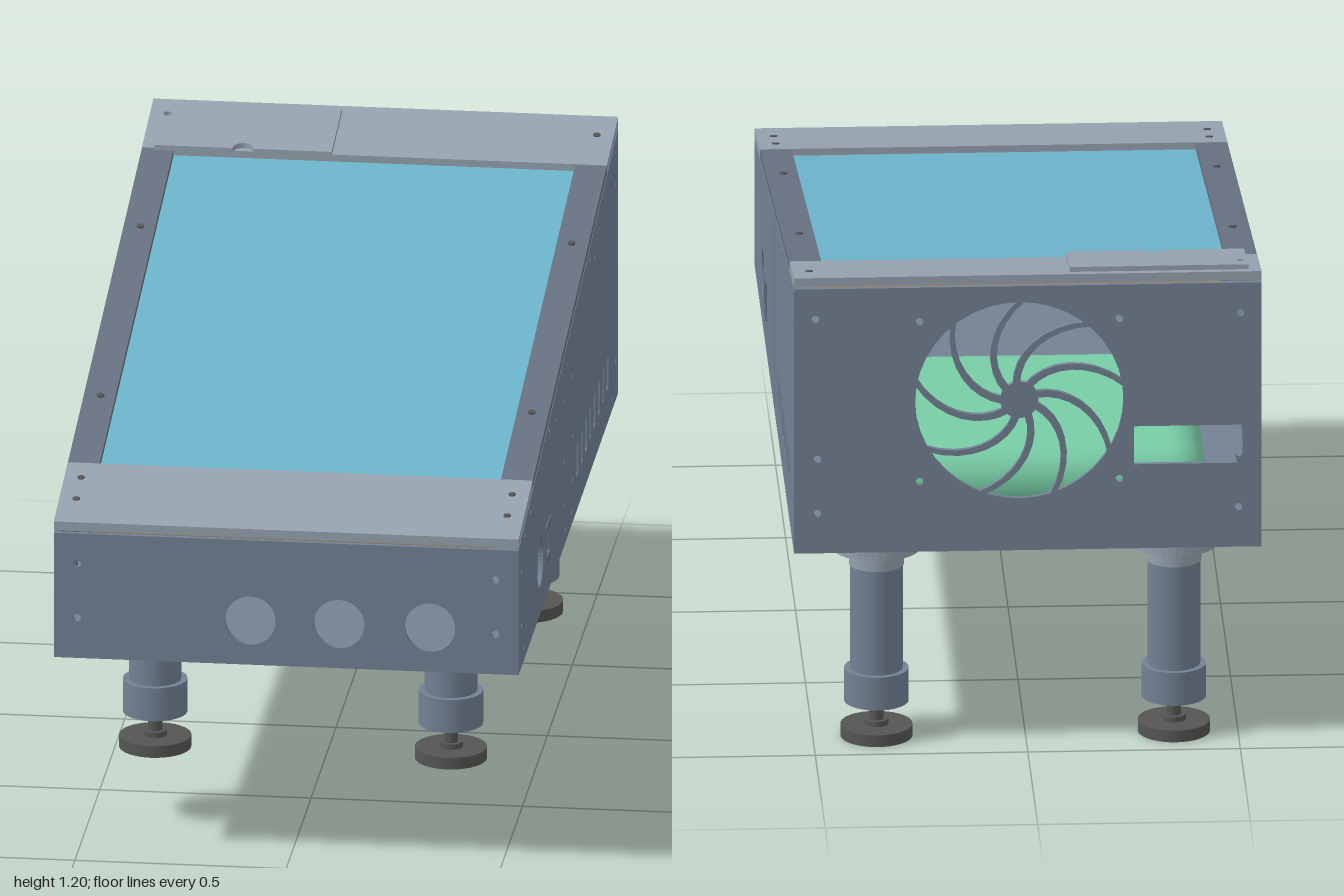
import * as THREE from 'three';
import { RoundedBoxGeometry } from 'three/addons/geometries/RoundedBoxGeometry.js';

const mat = (name, color, side = THREE.FrontSide) => {
  const m = new THREE.MeshStandardMaterial({ color, side });
  m.name = name;
  return m;
};

const T = 0.012;        // sheet thickness
const SLOPE = 0.175;    // rise of the lid towards the back
const LID = 1.018;      // lid top height at z = 0
const BASE = 0.505;     // underside of the cabinet
const wallTop = z => 0.99 - SLOPE * z;

export function createModel() {
  const model = new THREE.Group();
  const body = mat('slate sheet metal', 0x728193);
  const cap = mat('light grey metal', 0x95a2ae);
  const strip = mat('dark slate trim', 0x667181);
  const glass = mat('blue glass', 0x6cb3ca);
  const dark = mat('dark rubber', 0x555654);
  const green = mat('green casing', 0x78cca6);
  const brown = mat('brown board', 0xa87c48);

  const add = (name, geo, material, x = 0, y = 0, z = 0, parent = model) => {
    const m = new THREE.Mesh(geo, material);
    m.name = name;
    m.position.set(x, y, z);
    parent.add(m);
    return m;
  };

  // shape helpers
  const poly = pts => new THREE.Shape(pts.map(p => new THREE.Vector2(p[0], p[1])));
  const rect = (x0, y0, x1, y1) => poly([[x0, y0], [x1, y0], [x1, y1], [x0, y1]]);
  const circle = (x, y, r) => new THREE.Path().absarc(x, y, r, 0, Math.PI * 2, true);
  const sheet = (shape, holes, depth = T) => {
    shape.holes.push(...holes);
    return new THREE.ExtrudeGeometry(shape, { depth, bevelEnabled: false, curveSegments: 20 });
  };

  // box that follows the slope of the lid; y0 and y1 are measured at z = 0
  const shear = new THREE.Matrix4().set(1, 0, 0, 0, 0, 1, -SLOPE, 0, 0, 0, 1, 0, 0, 0, 0, 1);
  const sloped = (name, material, x0, x1, y0, y1, z0, z1) => {
    const g = new THREE.BoxGeometry(x1 - x0, y1 - y0, z1 - z0);
    g.translate((x0 + x1) / 2, (y0 + y1) / 2, (z0 + z1) / 2).applyMatrix4(shear);
    return add(name, g, material);
  };

  // front panel with three round openings
  const corners = [[-0.495, 0.74], [0.495, 0.74], [-0.495, 0.605], [0.495, 0.605]];
  const screwHole = ([x, y]) => circle(x, y, 0.009);
  add('frontPanel', sheet(rect(-0.55, BASE, 0.55, wallTop(1)), [
    ...corners.map(screwHole),
    ...[-0.085, 0.125, 0.34].map(x => circle(x, 0.615, 0.06)),
  ]), body, 0, 0, 1 - T);

  // back panel with fan opening and socket opening
  const fan = { x: 0.02, y: 0.88, r: 0.245 };
  const fanScrews = [-1, 1].flatMap(i => [-1, 1].map(j => [fan.x + i * 0.235, fan.y + j * 0.2]));
  add('backPanel', sheet(rect(-0.55, BASE, 0.55, wallTop(-1)), [
    ...corners.map(screwHole),
    ...[[-0.5, 1.09], [0.5, 1.09], ...fanScrews].map(screwHole),
    circle(fan.x, fan.y, fan.r),
    rect(-0.505, 0.715, -0.25, 0.81),
  ]), body, 0, 0, -1);

  // swirling fan grille
  const grille = new THREE.Group();
  grille.name = 'fanGrille';
  grille.position.set(fan.x, fan.y, -1);
  model.add(grille);
  const hub = add('grilleHub', new THREE.CylinderGeometry(0.045, 0.045, T, 28), body, 0, 0, T / 2, grille);
  hub.rotation.x = Math.PI / 2;
  const armEdge = side => Array.from({ length: 9 }, (_, i) => {
    const r = 0.04 + 0.21 * i / 8;
    const a = 0.9 * i / 8 + side * 0.009 / r;
    return [r * Math.cos(a), r * Math.sin(a)];
  });
  const armGeo = sheet(poly([...armEdge(-1), ...armEdge(1).reverse()]), []);
  for (let k = 0; k < 9; k++) {
    add('grilleArm', armGeo, body, 0, 0, 0, grille).rotation.z = k * Math.PI * 2 / 9;
  }

  // side walls in two halves; the shapes are drawn with x = -z
  const frontDots = [[0.94, 0.745], [0.94, 0.61], [0.87, 0.81], [0.9, 0.54], [0.76, 0.83],
    [0.38, 0.9], [0.235, 0.875], [0.09, 0.87], [0.09, 0.72], [0.09, 0.61], [0.06, 0.54]];
  const backDots = [[-0.06, 0.54], [-0.09, 0.72], [-0.09, 0.61], [-0.09, 0.87], [-0.43, 1.04],
    [-0.53, 1.01], [-0.94, 1.13], [-0.94, 1.05], [-0.94, 0.61], [-0.87, 0.54]];
  const dots = list => list.map(([z, y]) => circle(-z, y, 0.008));
  const wall = (z0, z1) => poly([[-z0, BASE], [-z1, BASE], [-z1, wallTop(z1)], [-z0, wallTop(z0)]]);
  const frontWall = sheet(wall(1 - T, 0.002), [
    ...dots(frontDots), circle(-0.565, 0.635, 0.06), rect(-0.455, 0.6, -0.385, 0.67),
  ]);
  const vents = Array.from({ length: 8 }, (_, i) => 0.183 + i * 0.0857)
    .map(u => rect(u - 0.018, 0.59, u + 0.018, 0.668));
  const backWall = sheet(wall(-0.002, -1 + T), [...dots(backDots), ...vents]);
  const switchRim = sheet(rect(-0.469, 0.587, -0.371, 0.683), [rect(-0.451, 0.604, -0.389, 0.666)], 0.03);
  for (const s of [1, -1]) {
    const x = s > 0 ? 0.55 - T : -0.55;
    add('sideWallFront', frontWall, body, x).rotation.y = Math.PI / 2;
    add('sideWallBack', backWall, body, x).rotation.y = Math.PI / 2;
    add('switchRim', switchRim, strip, s > 0 ? 0.523 : -0.553).rotation.y = Math.PI / 2;
  }

  // floor in two halves
  const floorHoles = [-0.47, 0.47].map(x => rect(x - 0.04, 0.07, x + 0.04, 0.095));
  const floors = [
    sheet(rect(-0.538, -0.988, 0.538, -0.002), []),
    sheet(rect(-0.538, 0.002, 0.538, 0.988), floorHoles),
  ];
  for (const g of floors) add('floor', g, body, 0, BASE + T, 0).rotation.x = -Math.PI / 2 + Math.PI;
  // the turned sheets run from z = -0.988 to 0.988, so swap the halves to keep the slots at the back
  model.children.slice(-2).forEach(f => {
    f.rotation.x = -Math.PI / 2;
    f.position.y = BASE;
  });

  // lid: end caps, side strips and recessed glass
  sloped('frontCap', cap, -0.55, 0.55, LID - 0.022, LID, 0.72, 1);
  sloped('backCap', cap, -0.55, 0.55, LID - 0.022, LID, -1, -0.77);
  for (const s of [-1, 1]) {
    sloped('sideStrip', strip, s * 0.5125 - 0.0375, s * 0.5125 + 0.0375, LID - 0.022, LID - 0.002, -0.77, 0.72);
  }
  sloped('screenGlass', glass, -0.475, 0.475, LID - 0.022, LID - 0.017, -0.77, 0.72);

  // raised access plate with a finger notch
  const plate = poly([[-0.52, 0.76], [-0.335, 0.76]]);
  plate.absarc(-0.31, 0.76, 0.025, Math.PI, 0, true);
  plate.lineTo(-0.1, 0.76).lineTo(-0.1, 0.97).lineTo(-0.52, 0.97);
  const plateGeo = sheet(plate, [circle(-0.505, 0.91, 0.01)]);
  plateGeo.rotateX(-Math.PI / 2).translate(0, LID, 0).applyMatrix4(shear);
  add('accessPlate', plateGeo, cap);

  // lid screws
  const screw = new THREE.CylinderGeometry(0.009, 0.009, 0.004, 14);
  for (const x of [-0.51, 0.51]) {
    for (const z of [-0.91, -0.4, 0.4, 0.79, 0.89]) {
      add('lidScrew', screw, dark, x, LID - SLOPE * z, z).rotation.x = Math.atan(SLOPE);
    }
  }

  // parts inside the cabinet
  sloped('innerBoard', brown, -0.47, 0.47, 0.898, 0.918, -0.72, 0.85);
  add('innerCasing', new RoundedBoxGeometry(0.86, 0.17, 0.74, 6, 0.084), green, 0, 0.605, -0.47);

  // legs with flange, tube, sleeve, threaded rod and foot
  const flangeHoles = [0, 1, 2, 3].map(k => {
    const a = Math.PI / 4 + k * Math.PI / 2;
    return circle(0.084 * Math.cos(a), 0.084 * Math.sin(a), 0.011);
  });
  const flangeShape = new THREE.Shape();
  flangeShape.absarc(0, 0, 0.105, 0, Math.PI * 2, false);
  const flangeGeo = sheet(flangeShape, flangeHoles, 0.034).rotateX(-Math.PI / 2);
  const leg = (x, z, foot) => {
    const g = new THREE.Group();
    g.name = foot > 0.1 ? 'frontLeg' : 'backLeg';
    g.position.set(x, 0, z);
    model.add(g);
    const tube = (name, r, y0, y1, material) =>
      add(name, new THREE.CylinderGeometry(r, r, y1 - y0, 36), material, 0, (y0 + y1) / 2, 0, g);
    add('flange', flangeGeo, cap, 0, 0.471, 0, g);
    tube('collar', 0.065, 0.43, 0.471, cap);
    tube('tube', 0.062, foot + 0.15, 0.43, body);
    tube('sleeve', 0.076, foot + 0.088, foot + 0.17, body);
    tube('rod', 0.017, foot + 0.03, foot + 0.09, dark);
    tube('boss', 0.028, foot + 0.028, foot + 0.042, dark);
    tube('foot', 0.085, foot, foot + 0.029, dark);
  };
  for (const x of [-0.35, 0.35]) {
    leg(x, 0.66, 0.172);
    leg(x, -0.865, 0);
  }
  return model;
}
